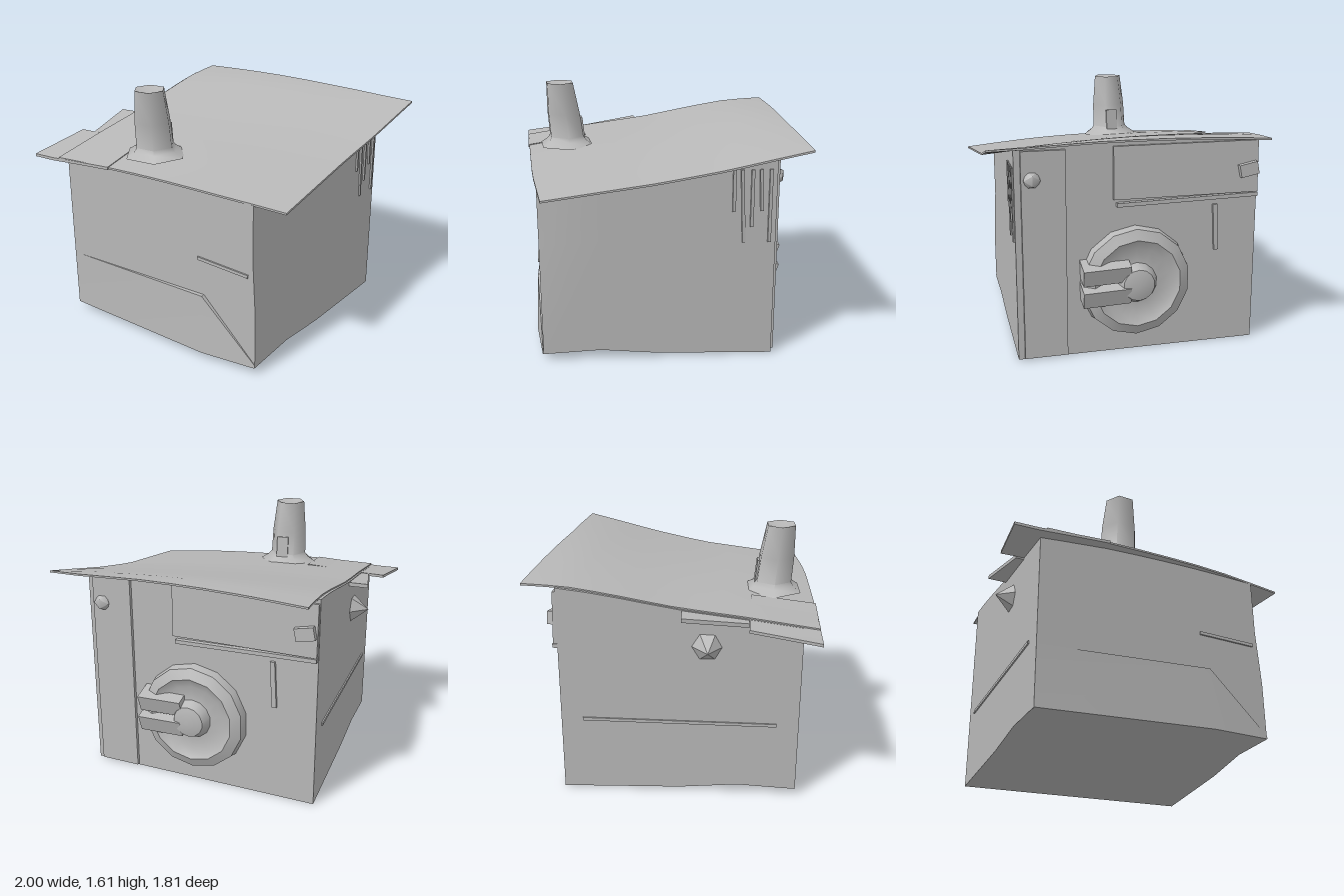
import * as THREE from 'three';
import { toCreasedNormals } from 'three/addons/utils/BufferGeometryUtils.js';

const lerp = THREE.MathUtils.lerp;

// Piecewise linear value through [t, value] pairs
function along(pairs, t) {
  if (t <= pairs[0][0]) return pairs[0][1];
  for (let i = 1; i < pairs.length; i++) {
    const [a, va] = pairs[i - 1], [b, vb] = pairs[i];
    if (t <= b) return lerp(va, vb, (t - a) / (b - a));
  }
  return pairs[pairs.length - 1][1];
}

// Height of the sagging roof over a plan position
function roofHeight(x, z) {
  const left = along([[-0.91, 1.365], [-0.65, 1.355], [-0.4, 1.32], [0, 1.25], [0.43, 1.2], [0.88, 1.138]], z);
  const right = along([[-0.69, 1.37], [-0.5, 1.33], [-0.2, 1.262], [0.2, 1.185], [0.88, 1.1]], z);
  const t = (x + 0.85) / 1.75;
  return lerp(left, right, t) + 0.03 * Math.sin(Math.PI * THREE.MathUtils.clamp(t, 0, 1));
}

// Depth of the slanted front wall
const frontZ = (x) => lerp(0.765, 0.89, (x + 0.805) / 1.435);

export function createModel() {
  const model = new THREE.Group();
  const grey = new THREE.MeshStandardMaterial({ color: 0xb8b8b8 });
  grey.name = 'plain grey';

  function add(name, geometry, parent = model, crease = 0.5) {
    const mesh = new THREE.Mesh(toCreasedNormals(geometry, crease), grey);
    mesh.name = name;
    parent.add(mesh);
    return mesh;
  }

  // Box whose vertices (u, v, w in 0..1) are moved by a rule
  function warpedBox(segments, rule) {
    const geometry = new THREE.BoxGeometry(1, 1, 1, ...segments);
    const p = geometry.attributes.position;
    for (let i = 0; i < p.count; i++) {
      p.setXYZ(i, ...rule(p.getX(i) + 0.5, p.getY(i) + 0.5, p.getZ(i) + 0.5));
    }
    return geometry;
  }

  function block(name, size, at, parent = model, turn = [0, 0, 0]) {
    const mesh = add(name, new THREE.BoxGeometry(...size), parent);
    mesh.position.set(...at);
    mesh.rotation.set(...turn);
    return mesh;
  }

  // Walls: a skewed box rising towards the back, pinched at the upper front corner
  add('walls', warpedBox([4, 3, 8], (u, v, w) => {
    const pinch = w === 1 && u === 1 && v > 0.6 ? 0.02 : 0;
    const x = lerp(lerp(-0.73, -0.805, w), lerp(0.81, 0.63, w), u) - pinch;
    const z = lerp(lerp(-0.705, -0.54, u), frontZ(x), w);
    const bottom = along([[0, 0.005], [0.5, 0.03], [0.75, 0.065], [1, 0.05]], w);
    return [x, lerp(bottom, roofHeight(x, z) - 0.008, v), z];
  }));

  // Skirt swelling along the lower front, then tapering to the corner
  add('frontSkirt', warpedBox([2, 1, 1], (u, v, w) => {
    const x = along([[0, -0.8], [0.5, 0.26], [1, 0.63]], u);
    const top = along([[0, 0.43], [0.5, 0.44], [1, 0.07]], u);
    const swell = along([[0, 0], [0.5, 0.045], [1, 0.005]], u);
    return [x, lerp(0.05, top, v), frontZ(x) + lerp(-0.03, swell * (1 - 0.4 * v), w)];
  }));

  // Roof: one large slab plus a front eave strip and a short side tab
  function roofSlab(name, segments, outline, thickness, lift) {
    add(name, warpedBox(segments, (u, v, w) => {
      const [x, z] = outline(u, w);
      return [x, roofHeight(x, z) + lift(u) - (1 - v) * thickness, z];
    }));
  }
  roofSlab('roof', [8, 1, 12], (u, w) => {
    const left = along([[0, -0.7], [0.54, -0.755], [1, -0.8]], w);
    const right = along([[0, 1], [0.56, 0.86], [1, 0.81]], w);
    const back = along([[0, -0.91], [0.62, -0.76], [0.82, -0.73], [1, -0.69]], u);
    const front = along([[0, 0.86], [0.7, 0.895], [1, 0.88]], u);
    return [lerp(left, right, u), lerp(back, front, w)];
  }, 0.012, () => 0);
  roofSlab('eaveStrip', [4, 1, 3], (u, w) =>
    [lerp(lerp(-0.94, -1, w), -0.4, u), lerp(lerp(0.435, 0.475, u), lerp(0.85, 0.88, u), w)],
  0.018, (u) => lerp(-0.015, 0.005, u));
  roofSlab('sideTab', [2, 1, 2], (u, w) =>
    [lerp(lerp(-0.89, -0.84, w), -0.7, u), lerp(0.045, 0.44, w)], 0.025, () => -0.012);

  // Chimney: leaning six-sided stack with a flared foot and a dished top
  const stack = new THREE.LatheGeometry([
    [0.2, 0], [0.145, 0.035], [0.125, 0.06], [0.12, 0.22], [0.098, 0.425], [0, 0.4],
  ].map(([r, y]) => new THREE.Vector2(r, y)), 6);
  stack.rotateY(Math.PI / 6);
  const sp = stack.attributes.position;
  for (let i = 0; i < sp.count; i++) sp.setZ(i, sp.getZ(i) + 0.1 * sp.getY(i));
  const chimney = add('chimney', stack, model, 1.1);
  chimney.position.set(-0.22, 1.193, 0.618);
  block('chimneyStep', [0.08, 0.17, 0.03], [-0.2, 1.295, 0.525], model, [0.1, 0, 0]);

  // Back wall details, placed in a group that follows the wall's slant
  const back = new THREE.Group();
  back.name = 'backDetails';
  back.position.set(0.04, 0, -0.62);
  back.rotation.y = Math.PI - 0.107;
  model.add(back);

  // Round wheel with a raised rim, dished face and hub, crossed by two bars
  const wheel = new THREE.Group();
  wheel.name = 'wheel';
  wheel.position.set(-0.03, 0.47, 0);
  back.add(wheel);
  const face = add('wheelFace', new THREE.LatheGeometry([
    [0.36, -0.02], [0.345, 0.06], [0.28, 0.09], [0.22, 0.055], [0.13, 0.06], [0.1, 0.12], [0, 0.145],
  ].map(([r, y]) => new THREE.Vector2(r, y)), 14), wheel, 0.8);
  face.rotation.x = Math.PI / 2;
  for (const y of [0.09, -0.05]) {
    block('wheelBar', [0.3, 0.11, 0.14], [-0.2, y, 0.05], wheel, [0.3, 0, 0.04]);
  }

  // Planks: corner post, top beam and the sill under it, with a gap left as a recess
  block('cornerPost', [0.27, 1.31, 0.03], [-0.6, 0.67, 0.01], back);
  add('topBeam', warpedBox([2, 1, 1], (u, v, w) =>
    [lerp(-0.17, 0.77, u), lerp(1.0, 1.33, v), lerp(-0.03, lerp(0.03, 0.02, v), w)]), back);
  block('beamSill', [0.92, 0.025, 0.05], [0.31, 0.975, 0.01], back, [0, 0, 0.02]);
  block('beamEnd', [0.12, 0.08, 0.08], [0.7, 1.15, 0.02], back, [0, 0, 0.2]);
  block('sidePeg', [0.03, 0.3, 0.03], [0.5, 0.78, 0.005], back, [0, 0, 0.05]);
  const knob = add('cornerKnob', new THREE.IcosahedronGeometry(0.06, 0), back, 1.2);
  knob.position.set(-0.67, 1.15, 0.01);

  // Pointed lump under the side tab
  const lump = add('sideLump', new THREE.ConeGeometry(0.1, 0.12, 6), model);
  lump.position.set(-0.825, 1.01, 0.2);
  lump.rotation.z = Math.PI / 2;

  // Splinters high on the left wall near the back corner
  for (let i = 0; i < 5; i++) {
    const z = -0.28 - i * 0.055;
    const length = 0.26 + 0.1 * ((i * 2) % 3);
    block('splinter', [0.02, length, 0.02],
      [lerp(0.63, 0.81, (0.89 - z) / 1.43), 1.22 - length / 2, z], model, [0.04 * (i % 2), 0, 0]);
  }

  // Ledges on the front and the far side wall
  block('frontLedge', [0.36, 0.02, 0.02], [0.4, 0.67, frontZ(0.4)], model, [0, -0.087, -0.06]);
  block('sideLedge', [0.02, 0.02, 1.2], [-0.766, 0.5, 0.03], model, [0, -0.051, 0]);
  return model;
}
